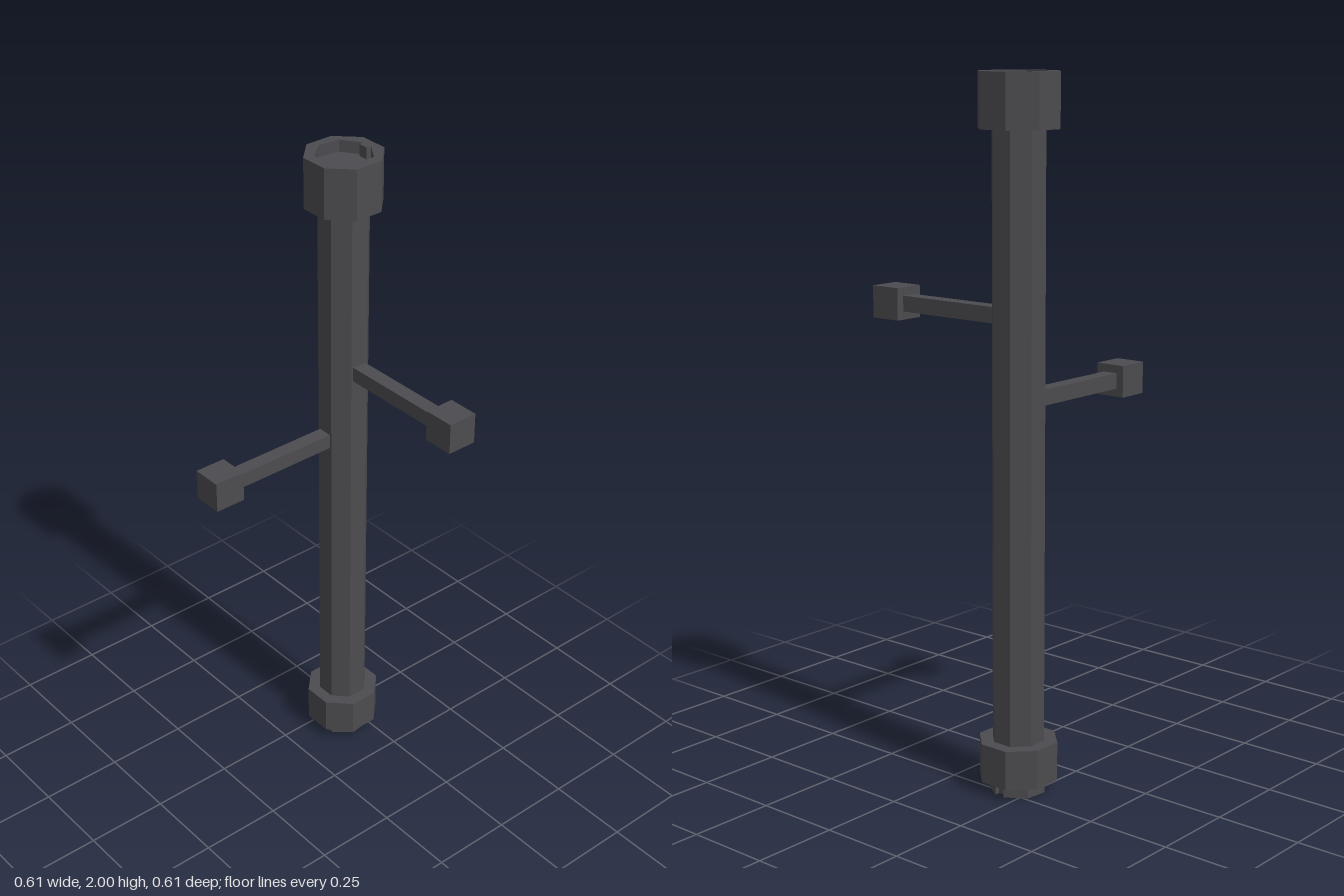
import * as THREE from 'three';

const CENTRE = -0.199; // x and z of the post
const RECESS = 0.035;  // depth of the keyed socket and length of the plug

// Seven-sided outline with a key slot cut in its rear corner, drawn as (x, -z)
function keyedOutline(s = 1) {
  const half = [[0.036, -0.075], [0.081, -0.02], [0.073, 0.044], [0.015, 0.083], [0.015, 0.068]];
  const mirrored = half.map(([x, y]) => [-x, y]).reverse();
  return [...half, ...mirrored].map(([x, y]) => new THREE.Vector2(x * s, y * s));
}

// Regular octagon with flats facing the axes
function octagonPoints(apothem) {
  const r = apothem / Math.cos(Math.PI / 8);
  return Array.from({ length: 8 }, (_, i) => {
    const a = (i + 0.5) * Math.PI / 4;
    return new THREE.Vector2(r * Math.cos(a), r * Math.sin(a));
  });
}

// Upright prism from y0 to y1
function prism(shape, y0, y1) {
  const g = new THREE.ExtrudeGeometry(shape, { depth: y1 - y0, bevelEnabled: false });
  g.rotateX(-Math.PI / 2);
  g.translate(0, y0, 0);
  return g;
}

export function createModel() {
  const darkMetal = new THREE.MeshStandardMaterial({ color: 0x4c4b4f });
  darkMetal.name = 'darkMetal';

  const model = new THREE.Group();
  model.name = 'keyedPost';
  const post = new THREE.Group();
  post.name = 'post';
  post.position.set(CENTRE, 0, CENTRE);
  model.add(post);

  const add = (parent, name, geometry) => {
    const mesh = new THREE.Mesh(geometry, darkMetal);
    mesh.name = name;
    parent.add(mesh);
    return mesh;
  };

  const octagon = (apothem) => new THREE.Shape(octagonPoints(apothem));

  // Shaft, collars and bottom plug
  add(post, 'shaft', prism(octagon(0.07), 0.15, 1.85));
  add(post, 'bottomCollar', prism(octagon(0.106), 0.037, 0.15));
  add(post, 'plug', prism(new THREE.Shape(keyedOutline(0.98)), 0, 0.037));
  add(post, 'topCollar', prism(octagon(0.106), 1.85, 2 - RECESS));

  // Rim around the keyed socket
  const rim = octagon(0.106);
  rim.holes.push(new THREE.Path(keyedOutline()));
  add(post, 'socketRim', prism(rim, 2 - RECESS, 2));

  // Side arms, each a square bar with a block at its end, built along +x
  const addArm = (name, y, turn) => {
    const arm = new THREE.Group();
    arm.name = name;
    arm.position.y = y;
    arm.rotation.y = turn;
    add(arm, 'bar', new THREE.BoxGeometry(0.345, 0.045, 0.045)).position.x = 0.235;
    add(arm, 'endBlock', new THREE.BoxGeometry(0.095, 0.092, 0.092)).position.x = 0.4545;
    post.add(arm);
  };
  addArm('leftArm', 1.348, 0);
  addArm('frontArm', 1.117, -Math.PI / 2);

  return model;
}
